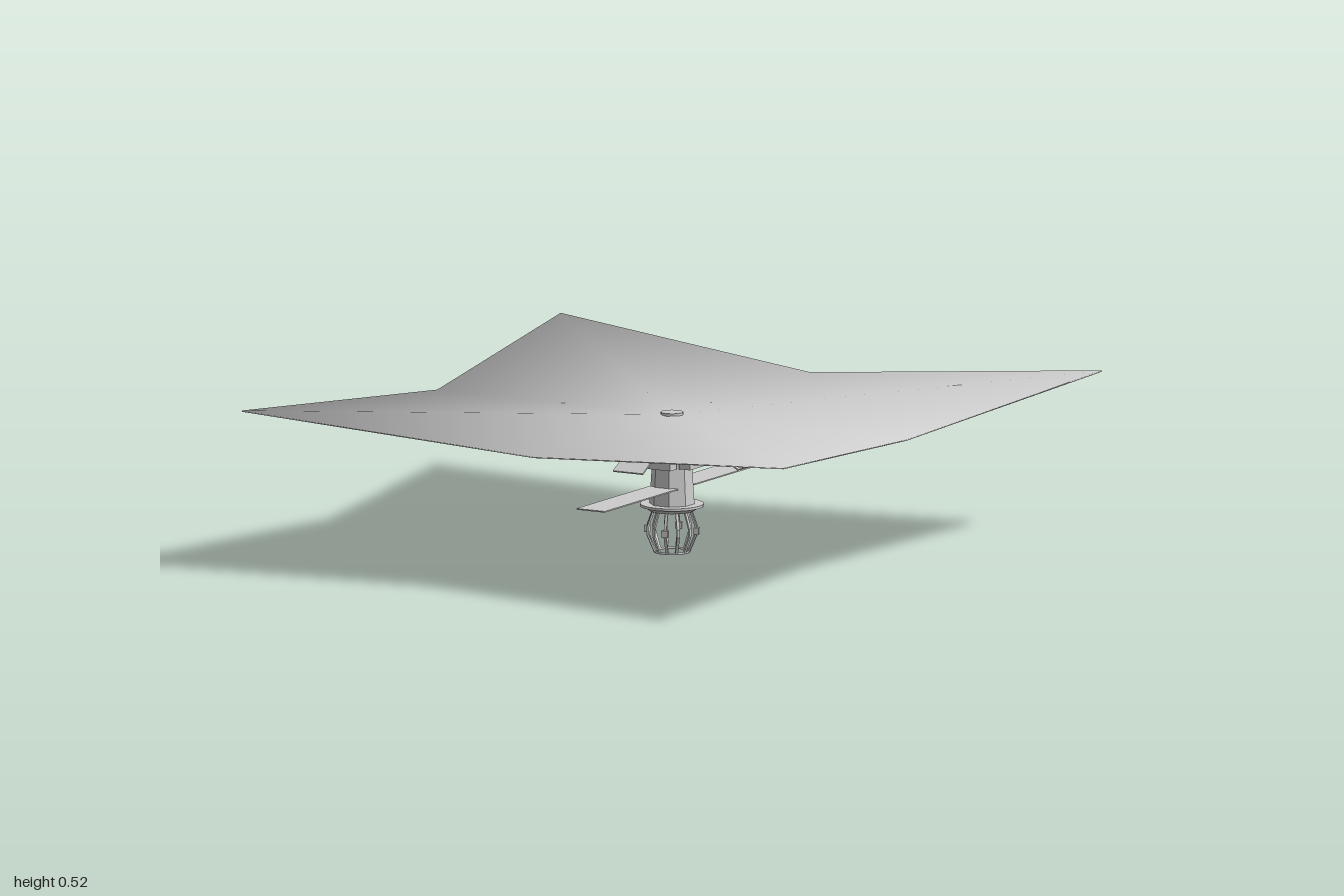
import * as THREE from 'three';

const grey = new THREE.MeshStandardMaterial({ color: 0xcccccc });
const flat = new THREE.MeshStandardMaterial({ color: 0xcccccc, flatShading: true });

function add(parent, name, geometry, material = grey) {
  const mesh = new THREE.Mesh(geometry, material);
  mesh.name = name;
  parent.add(mesh);
  return mesh;
}

// Thin star-shaped slab, corners raised, normals rolled outward toward the rim
function sailGeometry() {
  const pos = [], nor = [], idx = [];
  const top = 0.445, thick = 0.004, lift = 0.078;
  const dirs = [[1, 0], [1, 1], [0, 1], [-1, 1], [-1, 0], [-1, -1], [0, -1], [1, -1]];
  for (const side of [1, -1]) {
    const y = side > 0 ? top : top - thick;
    pos.push(0, y, 0);
    nor.push(0, side, 0);
    for (const [x, z] of dirs) {
      const corner = x !== 0 && z !== 0;
      const r = corner ? 1 : 0.867;
      pos.push(x * r, y + (corner ? lift : 0), z * r);
      const n = new THREE.Vector3(x * 0.95, side, z * 0.95).normalize();
      nor.push(n.x, n.y, n.z);
    }
  }
  for (let i = 0; i < 8; i++) {
    const a = 1 + i, b = 1 + (i + 1) % 8, c = a + 9, d = b + 9;
    idx.push(0, b, a, 9, c, d);      // top and underside
    idx.push(a, b, d, a, d, c);      // rim
  }
  const g = new THREE.BufferGeometry();
  g.setAttribute('position', new THREE.Float32BufferAttribute(pos, 3));
  g.setAttribute('normal', new THREE.Float32BufferAttribute(nor, 3));
  g.setIndex(idx);
  return g;
}

// Eight-sided body section with flat faces toward the axes; r is the half width
function section(parent, name, rTop, rBottom, y0, y1) {
  const k = 1 / Math.cos(Math.PI / 8);
  const g = new THREE.CylinderGeometry(rTop * k, rBottom * k, y1 - y0, 8);
  g.rotateY(Math.PI / 8);
  add(parent, name, g, flat).position.y = (y0 + y1) / 2;
}

function disc(parent, name, rTop, rBottom, y0, y1) {
  add(parent, name, new THREE.CylinderGeometry(rTop, rBottom, y1 - y0, 24)).position.y = (y0 + y1) / 2;
}

// Straight bar with a square section between two points in the xy plane
function bar(parent, name, a, b, thick, width) {
  const dx = b[0] - a[0], dy = b[1] - a[1];
  const m = add(parent, name, new THREE.BoxGeometry(Math.hypot(dx, dy), thick, width));
  m.position.set((a[0] + b[0]) / 2, (a[1] + b[1]) / 2, 0);
  m.rotation.z = Math.atan2(dy, dx);
}

export function createModel() {
  const model = new THREE.Group();
  model.name = 'sailCraft';

  add(model, 'sail', sailGeometry());
  disc(model, 'sailHub', 0.036, 0.036, 0.437, 0.454);
  disc(model, 'hubNeck', 0.017, 0.017, 0.42, 0.44);

  // Body, from top to bottom
  section(model, 'bodyCap', 0.045, 0.06, 0.418, 0.432);
  section(model, 'upperBody', 0.06, 0.06, 0.28, 0.418);
  section(model, 'lowerBody', 0.06, 0.067, 0.155, 0.28);
  disc(model, 'skirtPlate', 0.102, 0.102, 0.15, 0.158);
  disc(model, 'skirt', 0.095, 0.07, 0.135, 0.15);

  // Four sloping panels and equipment boxes around the upper body
  for (let i = 0; i < 4; i++) {
    const arm = new THREE.Group();
    arm.name = 'sideEquipment';
    arm.rotation.y = i * Math.PI / 2;
    bar(arm, 'slopingPanel', [0.045, 0.43], [0.276, 0.3], 0.005, 0.11);
    add(arm, 'equipmentBox', new THREE.BoxGeometry(0.04, 0.036, 0.1)).position.set(0.076, 0.299, 0);
    model.add(arm);
  }

  // Long level panels, front and back
  for (const s of [1, -1]) {
    add(model, 'longPanel', new THREE.BoxGeometry(0.105, 0.004, 0.46)).position.set(0, 0.215, s * 0.281);
  }

  // Bent-strut cage under the skirt
  const struts = 12;
  for (let i = 0; i < struts; i++) {
    const strut = new THREE.Group();
    strut.name = 'cageStrut';
    strut.rotation.y = (i + 0.5) * Math.PI * 2 / struts;
    bar(strut, 'upperStrut', [0.06, 0.14], [0.08, 0.085], 0.006, 0.009);
    bar(strut, 'middleStrut', [0.08, 0.085], [0.08, 0.06], 0.006, 0.009);
    bar(strut, 'lowerStrut', [0.08, 0.06], [0.056, 0.003], 0.006, 0.009);
    if (i % 3 === 0) {
      add(strut, 'cageBox', new THREE.BoxGeometry(0.016, 0.022, 0.022)).position.set(0.082, 0.073, 0);
    }
    model.add(strut);
  }
  const ring = add(model, 'cageRing', new THREE.TorusGeometry(0.056, 0.004, 6, 24));
  ring.rotation.x = Math.PI / 2;
  ring.position.y = 0.004;

  return model;
}
